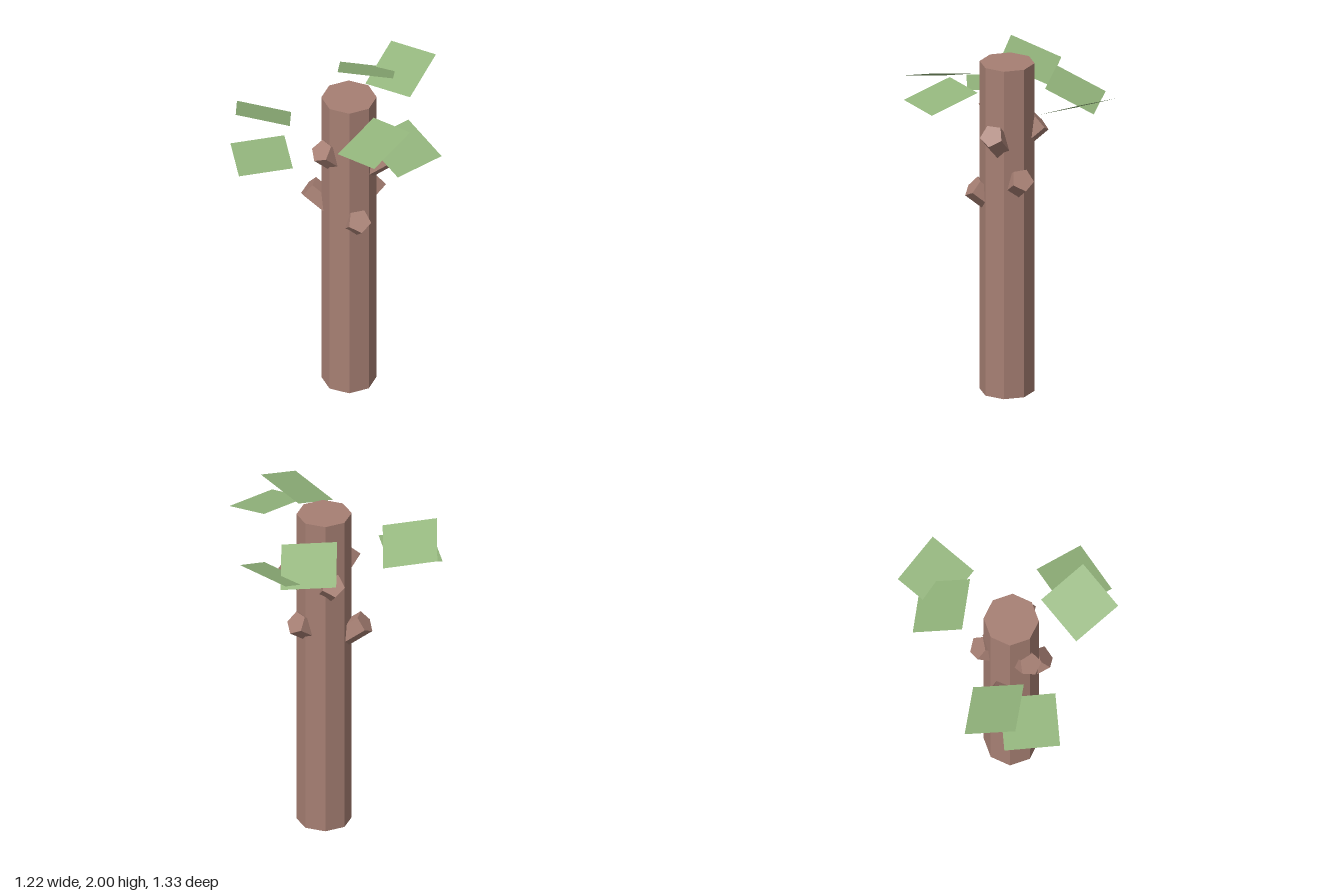
import * as THREE from 'three';

const V = (x, y, z) => new THREE.Vector3(x, y, z);

export function createModel() {
  const model = new THREE.Group();
  const bark = new THREE.MeshStandardMaterial({ color: 0xa67f73, flatShading: true });
  const green = new THREE.MeshStandardMaterial({ color: 0x93b57c, flatShading: true, side: THREE.DoubleSide });

  function add(geometry, material, name) {
    const mesh = new THREE.Mesh(geometry, material);
    mesh.name = name;
    model.add(mesh);
    return mesh;
  }

  // Eight-sided trunk, with a corner facing the front
  const height = 1.96, cx = -0.008, cz = 0.008;
  add(new THREE.CylinderGeometry(0.155, 0.155, height, 8), bark, 'trunk').position.set(cx, height / 2, cz);

  // Cut branch stubs: horizontal direction, distance and height of the cut's centre, upward tilt
  const stubs = [
    [0.2, -0.98, 0.195, 1.32, 36],
    [0.86, -0.5, 0.235, 1.6, 40],
    [0.88, 0.47, 0.195, 1.23, 40],
    [-0.15, 0.99, 0.195, 1.67, 46],
    [-0.87, 0.5, 0.235, 1.29, 38],
    [-0.85, -0.53, 0.19, 1.6, 40],
  ];
  const stubLength = 0.22;
  for (const [dx, dz, distance, y, tilt] of stubs) {
    const e = THREE.MathUtils.degToRad(tilt);
    const out = V(dx, 0, dz).normalize();
    const axis = out.clone().multiplyScalar(Math.cos(e)).setY(Math.sin(e));
    const low = out.clone().multiplyScalar(Math.sin(e)).setY(-Math.cos(e));
    const side = axis.clone().cross(low);
    const geometry = new THREE.CylinderGeometry(0.068, 0.068, stubLength, 5);
    geometry.translate(0, -stubLength / 2, 0);
    geometry.applyMatrix4(new THREE.Matrix4().makeBasis(side, axis, low));
    add(geometry, bark, 'branchStub').position.set(cx + out.x * distance, y, cz + out.z * distance);
  }

  // Flat square leaves: one corner and its two neighbours
  const leaves = [
    [V(-0.294, 1.865, -0.623), V(0.011, 1.905, -0.669), V(-0.23, 1.745, -0.35)],
    [V(-0.428, 1.795, -0.35), V(-0.244, 1.93, -0.142), V(-0.188, 1.77, -0.549)],
    [V(-0.612, 1.767, 0.287), V(-0.375, 1.71, 0.096), V(-0.418, 1.883, 0.496)],
    [V(-0.481, 1.638, 0.474), V(-0.23, 1.64, 0.662), V(-0.297, 1.66, 0.23)],
    [V(0.315, 1.894, -0.138), V(0.612, 1.815, -0.1), V(0.273, 1.888, 0.17)],
    [V(0.202, 1.936, 0.025), V(0.503, 2.0, 0.042), V(0.205, 1.838, 0.315)],
  ];
  for (const [corner, a, b] of leaves) {
    const u = a.clone().sub(corner), v = b.clone().sub(corner);
    const n = u.clone().cross(v).normalize();
    // Keep the face side upward
    const basis = n.y > 0
      ? new THREE.Matrix4().makeBasis(u, v, n)
      : new THREE.Matrix4().makeBasis(v, u, n.negate());
    const geometry = new THREE.PlaneGeometry(1, 1).applyMatrix4(basis);
    add(geometry, green, 'leaf').position.copy(a).add(b).multiplyScalar(0.5);
  }

  return model;
}
